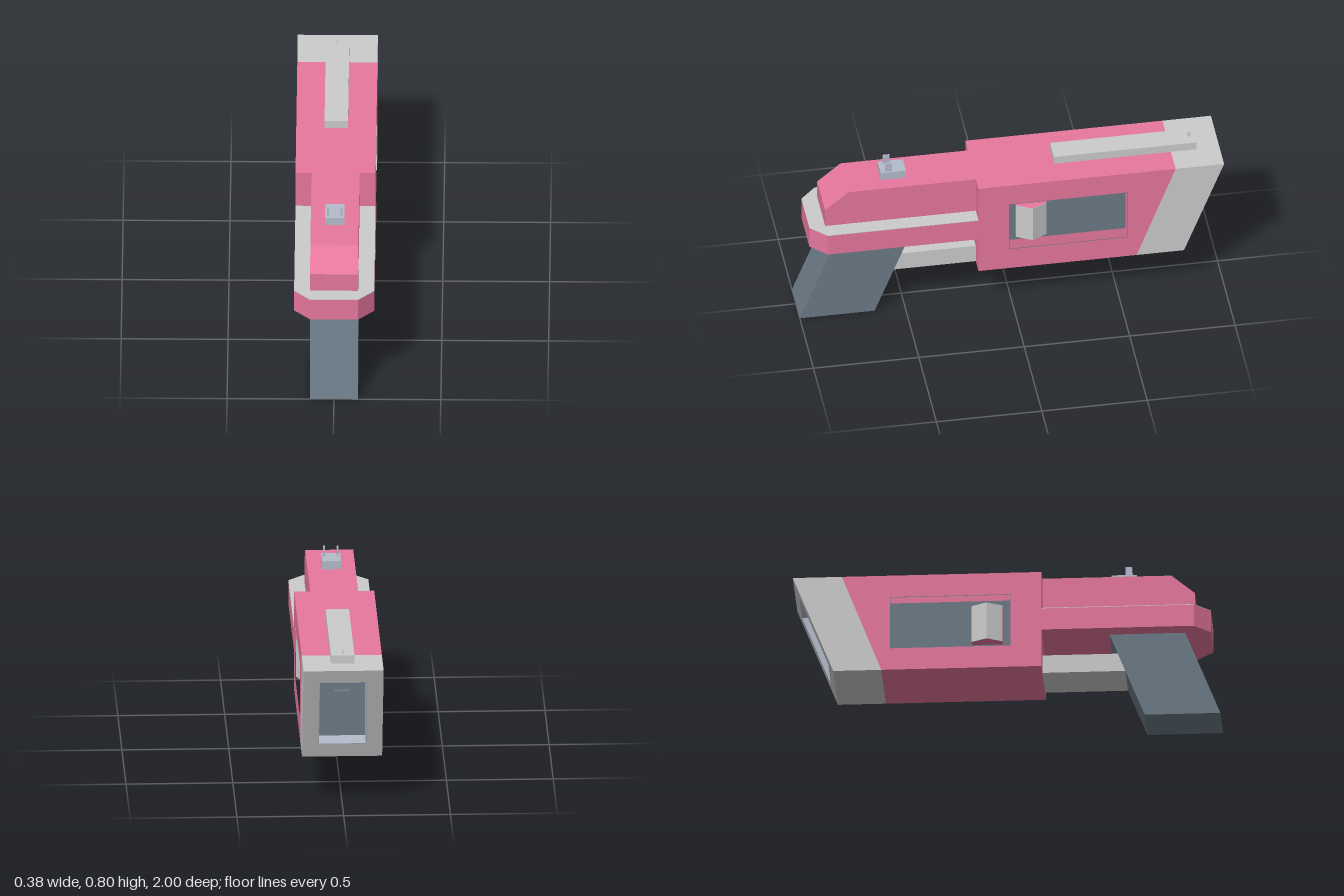
import * as THREE from 'three';

const mat = (color) => new THREE.MeshStandardMaterial({ color, flatShading: true });

export function createModel() {
  const group = new THREE.Group();
  const pink = mat(0xe6779d), slate = mat(0x6b7a86), grey = mat(0xcccccc), blueGrey = mat(0xb4bccc);

  const add = (name, geometry, material) => {
    const mesh = new THREE.Mesh(geometry, material);
    mesh.name = name;
    group.add(mesh);
    return mesh;
  };
  const toShape = (pts) => new THREE.Shape(pts.map(([a, b]) => new THREE.Vector2(a, b)));

  // Side profile of [z, y] points, extruded across from x0 to x1
  const side = (name, pts, x0, x1, material, hole) => {
    const shape = toShape(pts);
    if (hole) shape.holes.push(toShape(hole));
    const g = new THREE.ExtrudeGeometry(shape, { depth: x1 - x0, bevelEnabled: false });
    return add(name, g.rotateY(-Math.PI / 2).translate(x1, 0, 0), material);
  };
  // Plan of [x, z] points, extruded from y0 up to y1
  const plan = (name, pts, y0, y1, material) => {
    const g = new THREE.ExtrudeGeometry(toShape(pts), { depth: y1 - y0, bevelEnabled: false });
    return add(name, g.rotateX(Math.PI / 2).translate(0, y1, 0), material);
  };
  const box = (name, x0, x1, y0, y1, z0, z1, material) => add(name,
    new THREE.BoxGeometry(x1 - x0, y1 - y0, z1 - z0)
      .translate((x0 + x1) / 2, (y0 + y1) / 2, (z0 + z1) / 2), material);
  const rect = (z0, z1, y0, y1) => [[z0, y0], [z1, y0], [z1, y1], [z0, y1]];

  const W = 0.1875, N = 0.1125;          // wide and narrow half widths
  const B = 0.23, T = 0.715;             // bottom and top of the body
  const holeB = 0.30, holeT = 0.65;      // muzzle opening
  const endZ = -0.72;                    // back of the muzzle opening
  const slant = (bottom, top) => (y) => bottom + (top - bottom) * (y - B) / (T - B);
  const seam = slant(-0.585, -0.77), face = slant(-0.81, -1);

  // Profile between two slanted or upright limits
  const band = (za, zb, y0, y1) => [[za(y0), y0], [zb(y0), y0], [zb(y1), y1], [za(y1), y1]];
  const at = (z) => () => z;

  // Body core, closed in front by the muzzle end wall
  box('bodyCore', -N, N, B, T, -0.58, 0.165, pink);
  box('muzzleEndWall', -N, N, holeB, holeT, endZ, -0.58, slate);
  box('innerNozzle', -0.035, 0.035, 0.40, 0.53, endZ - 0.03, endZ, slate);

  // Beams above and below the muzzle opening
  for (const [y0, y1, part] of [[B, holeB, 'Bottom'], [holeT, T, 'Top']]) {
    side('body' + part, band(at(-0.58), seam, y0, y1), -N, N, pink);
    side('muzzle' + part, band(seam, face, y0, y1), -N, N, grey);
  }
  // Lining of the muzzle opening
  const t = 0.003;
  side('muzzleFloor', band(at(endZ), face, holeB, holeB + t), -N, N, blueGrey);
  side('muzzleCeiling', band(at(endZ), face, holeT - t, holeT), -N, N, blueGrey);

  // Side walls with a recessed window, mirrored
  const win = rect(0.02, -0.545, 0.34, 0.605);
  const winInner = rect(0.02 - t, -0.545 + t, 0.34 + t, 0.605 - t);
  for (const s of [-1, 1]) {
    const span = (a, b) => (s > 0 ? [a, b] : [-b, -a]);
    side('bodySide', band(at(0.165), seam, B, T), ...span(N, W), pink, win);
    side('muzzleSide', band(seam, face, B, T), ...span(N, W), grey);
    side('muzzleLining', band(at(endZ), face, holeB, holeT), ...span(N - t, N), blueGrey);
    side('windowFrame', win, ...span(N, W - 0.001), slate, winInner);
    side('windowBack', win, ...span(N, N + t), slate);

    // Wedge-fronted cell inside the window, with two pale outer faces
    const cell = [[N, -0.02], [0.148, -0.02], [W - 0.002, -0.0925], [0.148, -0.165], [N, -0.165]];
    plan('windowCell', cell.map(([x, z]) => [s * x, z]), 0.38, 0.565, pink);
    for (const [i, j] of [[1, 2], [2, 3]]) {
      const [a, b] = [cell[i], cell[j]];
      const strip = [a, b, [b[0] + 0.002, b[1]], [a[0] + 0.002, a[1]]];
      plan('cellPanel', strip.map(([x, z]) => [s * x, z]), 0.38, 0.565, grey);
    }
  }

  // Rear housing and its wide ledge
  side('rearHousing', [[0.165, 0.53], [0.88, 0.53], [0.88, 0.622], [0.77, T], [0.165, T]], -N, N, pink);
  const ledge = [[-W, 0.165], [W, 0.165], [W, 0.88], [N, 0.955], [-N, 0.955], [-W, 0.88]];
  plan('rearLedge', ledge, 0.418, 0.527, pink);
  plan('ledgeTop', ledge, 0.527, 0.53, grey);

  // Slanted grip and the bar joining it to the body
  side('grip', [[1, 0], [0.835, 0.418], [0.48, 0.418], [0.645, 0]], -N, N, slate);
  side('lowerBar', [[0.165, B], [0.56, B], [0.525, 0.32], [0.165, 0.32]], -0.11, 0.11, grey);

  // Top rail and sights
  box('topRail', -0.055, 0.055, T, 0.755, -0.89, -0.215, grey);
  box('frontSightPost', -0.003, 0.003, 0.755, 0.778, -0.871, -0.859, grey);
  box('rearSightBase', -0.045, 0.045, T, 0.755, 0.485, 0.605, blueGrey);
  for (const s of [-1, 1]) {
    box('rearSightPost', s * 0.032 - 0.004, s * 0.032 + 0.004, 0.755, 0.8, 0.55, 0.582, blueGrey);
  }
  return group;
}
